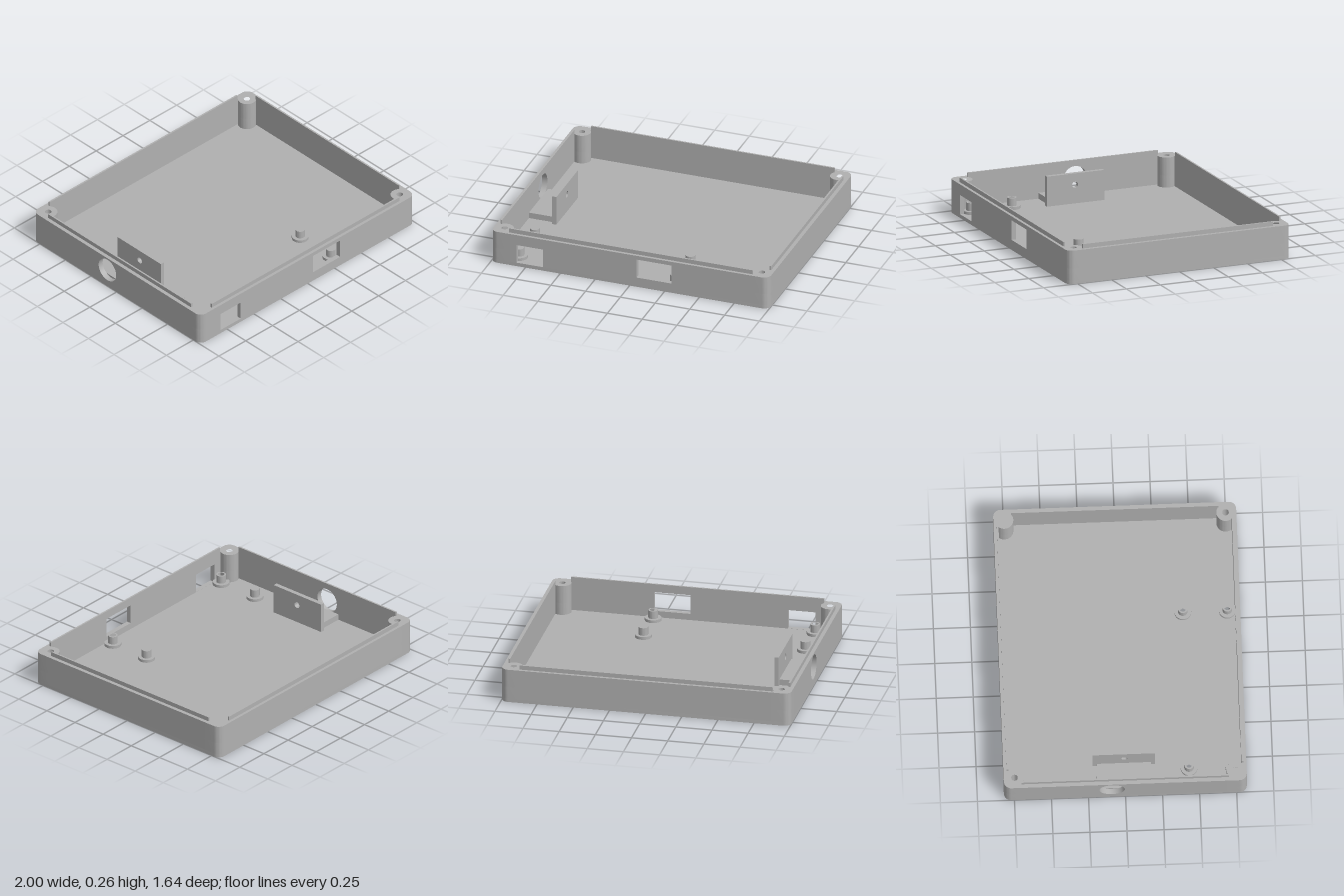
import * as THREE from 'three';
import { toCreasedNormals } from 'three/addons/utils/BufferGeometryUtils.js';

export function createModel() {
  const model = new THREE.Group();
  model.name = 'enclosureBase';
  const grey = new THREE.MeshStandardMaterial({ color: 0xb0b0b0 });
  grey.name = 'grey plastic';

  const FLOOR = 0.025, RIM = 0.235, LIP = 0.265;
  const X = 1, Z = 0.82, IX = 0.962, IZ = 0.787, R = 0.05;
  const BX = 0.925, BZ = 0.747, BR = 0.062; // corner screw boss
  const PX = 0.86, PZ = 0.68; // where straight walls meet the corners

  const add = (name, geometry) => {
    const mesh = new THREE.Mesh(geometry, grey);
    mesh.name = name;
    model.add(mesh);
    return mesh;
  };
  const box = (name, x0, x1, y0, y1, z0, z1) =>
    add(name, new THREE.BoxGeometry(x1 - x0, y1 - y0, z1 - z0))
      .position.set((x0 + x1) / 2, (y0 + y1) / 2, (z0 + z1) / 2);
  const rect = (x0, x1, y0, y1) => [[x0, y0], [x1, y0], [x1, y1], [x0, y1]];
  const arc = (cx, cy, r, a0, a1, n) => Array.from({ length: n + 1 }, (_, i) => {
    const a = a0 + (a1 - a0) * i / n;
    return [cx + r * Math.cos(a), cy + r * Math.sin(a)];
  });
  const circle = (cx, cy, r, n = 32) => arc(cx, cy, r, 0, Math.PI * 2, n).slice(0, n);
  const vectors = pts => pts.map(p => new THREE.Vector2(p[0], p[1]));
  const extrude = (outline, holes, depth) => {
    const shape = new THREE.Shape(vectors(outline));
    shape.holes = holes.map(h => new THREE.Path(vectors(h)));
    return toCreasedNormals(
      new THREE.ExtrudeGeometry(shape, { depth, bevelEnabled: false }), 0.6);
  };
  // Plan outline in (x, z), raised from y0 to y1
  const slab = (name, outline, holes, y0, y1) => {
    const flip = pts => pts.map(([x, z]) => [x, -z]);
    add(name, extrude(flip(outline), holes.map(flip), y1 - y0)
      .rotateX(-Math.PI / 2).translate(0, y0, 0));
  };
  // Upright panel facing z, outline in (x, y)
  const panelZ = (name, outline, holes, z0, z1) =>
    add(name, extrude(outline, holes, z1 - z0).translate(0, 0, z0));
  // Upright panel facing x, outline in (z, y)
  const panelX = (name, outline, holes, x0, x1) =>
    add(name, extrude(outline, holes, x1 - x0).rotateY(-Math.PI / 2).translate(x1, 0, 0));

  const signs = [[1, 1], [-1, 1], [-1, -1], [1, -1]];
  const posts = [[-0.825, 0.435], [-0.825, 0.735], [0.295, 0.435], [0.295, 0.735]];

  // Floor with screw recesses and nut pockets
  const q = Math.PI / 2;
  const outer = signs.flatMap(([sx, sz], i) =>
    arc(sx * (X - R), sz * (Z - R), R, i * q, (i + 1) * q, 10));
  slab('floor', outer, [
    ...signs.map(([sx, sz]) => circle(sx * BX, sz * BZ, 0.042)),
    ...posts.map(([x, z]) => circle(x, z, 0.028, 6)),
  ], 0, FLOOR);

  // Corners: rounded outside, screw boss inside, counterbored from below
  const a0 = -Math.acos((IX - BX) / BR);
  const a1 = -Math.PI - Math.asin((IZ - BZ) / BR);
  const corner = [
    [PX, Z], ...arc(X - R, Z - R, R, q, 0, 10), [X, PZ], [IX, PZ],
    ...arc(BX, BZ, BR, a0, a1, 24), [PX, IZ],
  ];
  for (const [sx, sz] of signs) {
    const outline = corner.map(([x, z]) => [sx * x, sz * z]);
    slab('cornerBossLower', outline, [circle(sx * BX, sz * BZ, 0.042)], FLOOR, 0.11);
    slab('cornerBossUpper', outline, [circle(sx * BX, sz * BZ, 0.022)], 0.11, RIM);
  }

  // Walls with port openings
  panelZ('frontWall', rect(-PX, PX, FLOOR, RIM), [
    rect(-0.815, -0.625, FLOOR + 0.001, 0.16),
    rect(0.05, 0.3, 0.07, 0.207),
  ], IZ, Z);
  panelZ('backWall', rect(-PX, PX, FLOOR, RIM), [], -Z, -IZ);
  panelX('leftWall', rect(-PZ, PZ, FLOOR, RIM), [], IX, X);
  panelX('rightWall', rect(-PZ, PZ, FLOOR, RIM), [circle(-0.09, 0.137, 0.086, 48)], -X, -IX);

  // Thin locating lip along the inner edge of each wall
  for (const s of [1, -1]) {
    const z = [s * IZ, s * (IZ + 0.012)].sort((a, b) => a - b);
    const x = [s * IX, s * (IX + 0.012)].sort((a, b) => a - b);
    box('longLip', -0.875, 0.875, RIM, LIP, z[0], z[1]);
    box('shortLip', x[0], x[1], RIM, LIP, -0.7, 0.7);
  }

  // Board standoffs: wide foot, narrow post
  for (const [x, z] of posts) {
    const hole = [circle(x, z, 0.022)];
    slab('standoffFoot', circle(x, z, 0.057), hole, FLOOR, 0.045);
    slab('standoffPost', circle(x, z, 0.033), hole, 0.045, 0.1);
  }

  // Bracket beside the round opening
  box('bracketBlock', -IX, -0.785, FLOOR, 0.066, -0.19, 0.18);
  panelX('bracketPlate', rect(-0.215, 0.207, FLOOR, RIM), [circle(0, 0.155, 0.022)], -0.785, -0.755);

  return model;
}
